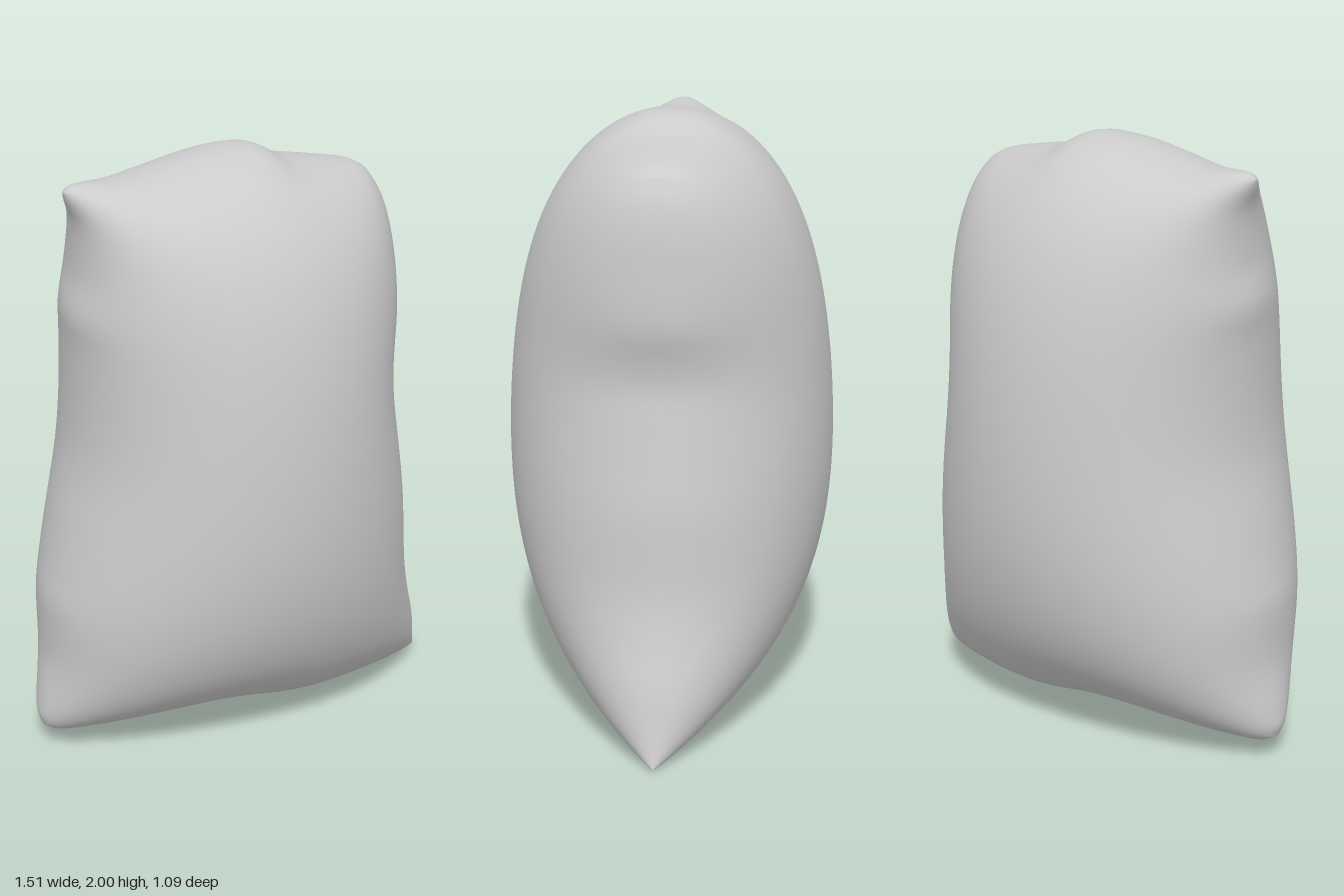
import * as THREE from 'three';
import { mergeVertices } from 'three/addons/utils/BufferGeometryUtils.js';

const curve = (...pts) => {
  const c = new THREE.CatmullRomCurve3(pts.map(([x, y]) => new THREE.Vector3(x, y, 0)), false, 'centripetal');
  c.arcLengthDivisions = 400;
  return c;
};

// Seam corners
const BL = [-0.742, 0.08], BR = [0.75, 0.003], TL = [-0.61, 1.925], TR = [0.475, 1.87];

// Seam edges, running left to right and bottom to top
const bottom = curve(BL, [-0.71, 0.065], [-0.55, 0.065], [-0.35, 0.075], [-0.15, 0.075],
  [-0.02, 0.05], [0.13, 0.02], [0.35, 0.018], [0.55, 0.012], BR);
const top = curve(TL, [-0.59, 1.942], [-0.4, 1.942], [-0.25, 1.965], [-0.1, 1.993],
  [0.04, 2], [0.09, 1.985], [0.15, 1.95], [0.3, 1.92], [0.43, 1.893], TR);
const left = curve(BL, [-0.755, 0.12], [-0.75, 0.17], [-0.72, 0.33], [-0.715, 0.55], [-0.7, 0.62],
  [-0.66, 0.8], [-0.61, 1.02], [-0.595, 1.2], [-0.595, 1.42], [-0.603, 1.52], [-0.577, 1.65],
  [-0.577, 1.82], [-0.605, 1.9], TL);
const right = curve(BR, [0.73, 0.07], [0.69, 0.23], [0.64, 0.38], [0.605, 0.53], [0.585, 0.8],
  [0.56, 0.95], [0.535, 1.1], [0.52, 1.2], [0.53, 1.29], [0.555, 1.4], [0.55, 1.6],
  [0.54, 1.7], [0.515, 1.8], TR);

// Membrane stiffness (cotangent weights) and area share of every point of a flat mesh
function membrane(xs, ys, tris) {
  const links = xs.map(() => new Map()), area = xs.map(() => 0);
  const link = (a, b, w) => links[a].set(b, (links[a].get(b) ?? 0) + w);
  for (const t of tris) {
    const twice = Math.max(1e-9, Math.abs((xs[t[1]] - xs[t[0]]) * (ys[t[2]] - ys[t[0]])
      - (xs[t[2]] - xs[t[0]]) * (ys[t[1]] - ys[t[0]])));
    for (let k = 0; k < 3; k++) {
      const a = t[k], b = t[(k + 1) % 3], c = t[(k + 2) % 3];
      const w = ((xs[b] - xs[a]) * (xs[c] - xs[a]) + (ys[b] - ys[a]) * (ys[c] - ys[a])) / twice / 2;
      link(b, c, w);
      link(c, b, w);
      area[a] += twice / 6;
    }
  }
  return { links: links.map(m => [...m]), area };
}

// Let the free points of a membrane settle under an even pressure
function settle({ links, area }, values, free, pressure) {
  for (let pass = 0; pass < 1200; pass++) {
    for (const p of free) {
      let sum = pressure * area[p], total = 0;
      for (const [q, w] of links[p]) {
        sum += w * values[q];
        total += w;
      }
      values[p] += 1.85 * (sum / total - values[p]);
    }
  }
}

// Two inflated panels stretched between the four edges and joined along the seam
function cushionGeometry(nu, nv, depth) {
  const ease = (k, n) => (1 - Math.cos(Math.PI * k / n)) / 2;
  const us = Array.from({ length: nu + 1 }, (_, i) => ease(i, nu));
  const vs = Array.from({ length: nv + 1 }, (_, j) => ease(j, nv));
  const sample = (c, list) => list.map(t => c.getPointAt(t));
  const B = sample(bottom, us), T = sample(top, us), L = sample(left, vs), R = sample(right, vs);
  const flatX = [], flatY = [], xs = [], ys = [], free = [], tris = [];

  for (let j = 0; j <= nv; j++) {
    for (let i = 0; i <= nu; i++) {
      const u = us[i], v = vs[j], p = xs.length;
      const blend = (k, a) => (1 - v) * B[i][a] + v * T[i][a] + (1 - u) * L[j][a] + u * R[j][a]
        - (1 - u) * (1 - v) * BL[k] - u * (1 - v) * BR[k] - (1 - u) * v * TL[k] - u * v * TR[k];
      flatX.push(u * 1.25);
      flatY.push(v * 1.9);
      xs.push(blend(0, 'x'));
      ys.push(blend(1, 'y'));
      if (i > 0 && i < nu && j > 0 && j < nv) free.push(p);
      if (i < nu && j < nv) tris.push([p, p + 1, p + nu + 2], [p, p + nu + 2, p + nu + 1]);
    }
  }

  // Smooth the seam's wobble away towards the middle, then inflate
  const sheet = membrane(flatX, flatY, tris);
  settle(sheet, xs, free, 0);
  settle(sheet, ys, free, 0);
  const lift = xs.map(() => 0);
  settle(membrane(xs, ys, tris), lift, free, 1);
  const peak = lift.reduce((a, b) => Math.max(a, b), 0);
  const zs = lift.map(h => depth * Math.sqrt(Math.max(0, h) / peak));

  const pos = [], index = [], count = xs.length;
  for (const side of [1, -1]) xs.forEach((x, p) => pos.push(x, ys[p], side * zs[p]));
  for (const [a, b, c] of tris) index.push(a, b, c, a + count, c + count, b + count);
  let g = new THREE.BufferGeometry();
  g.setAttribute('position', new THREE.Float32BufferAttribute(pos, 3));
  g.setIndex(index);
  g = mergeVertices(g, 1e-5);
  g.computeVertexNormals();
  return g;
}

export function createModel() {
  const group = new THREE.Group();
  group.name = 'cushion';
  const body = new THREE.Mesh(cushionGeometry(60, 80, 0.545),
    new THREE.MeshStandardMaterial({ color: 0xcccccc }));
  body.name = 'cushionBody';
  group.add(body);
  return group;
}
